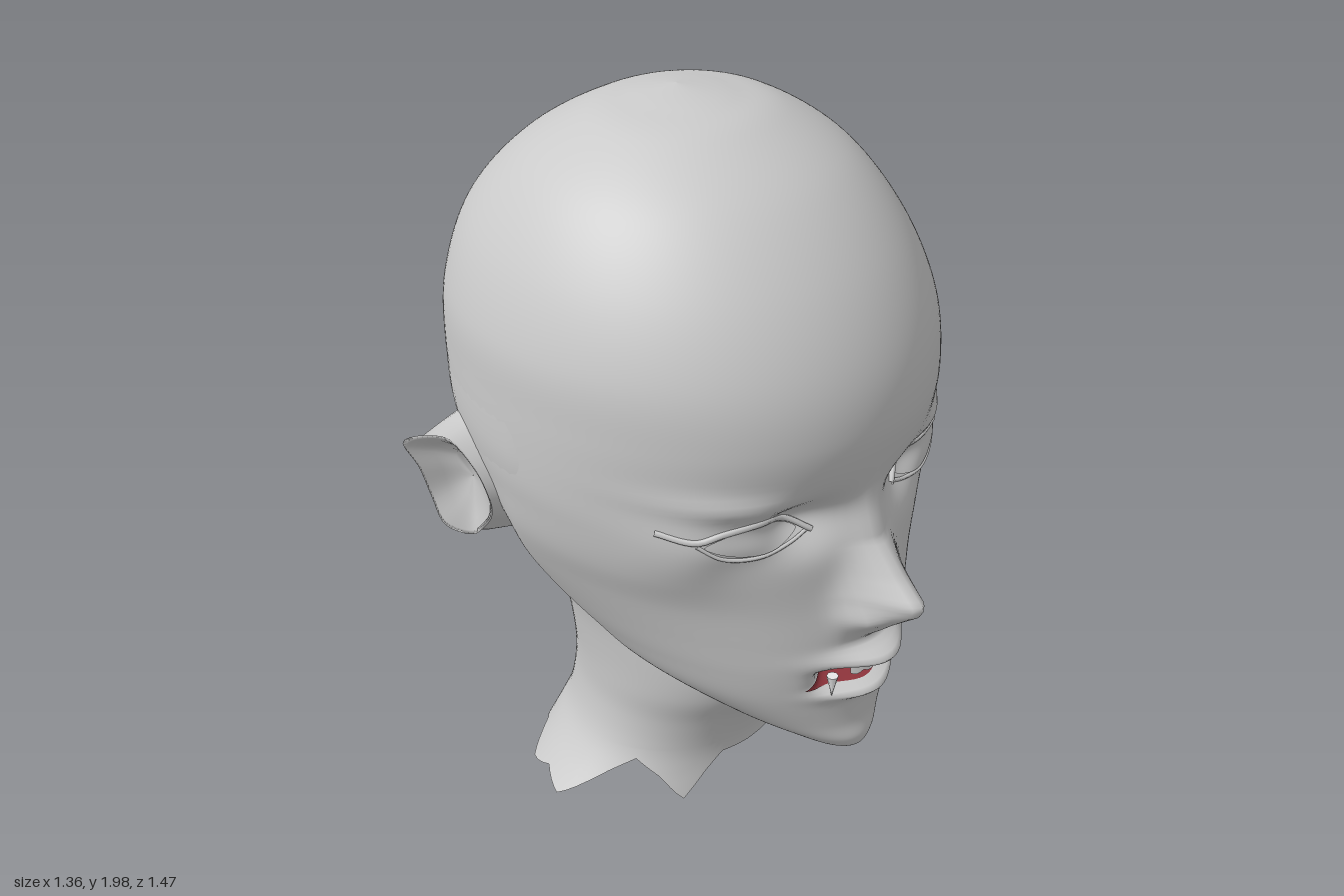
import * as THREE from 'three';

const skin = new THREE.MeshStandardMaterial({ color: 0xcacaca, side: THREE.DoubleSide });
skin.name = 'grey skin';
const red = new THREE.MeshStandardMaterial({ color: 0x8f343c, side: THREE.DoubleSide });
red.name = 'mouth red';
const white = new THREE.MeshStandardMaterial({ color: 0xffffff, side: THREE.DoubleSide });
white.name = 'tooth white';

// Cross-sections, top to bottom: y, half width, front z, back z, z of widest point
const HEAD = [
  [2.0, 0, -0.11, -0.11, -0.11], [1.983, 0.12, 0.04, -0.21, -0.1], [1.95, 0.245, 0.16, -0.32, -0.09],
  [1.85, 0.395, 0.33, -0.49, -0.09], [1.7, 0.505, 0.47, -0.64, -0.09], [1.53, 0.568, 0.56, -0.71, -0.08],
  [1.37, 0.578, 0.588, -0.73, -0.08], [1.2, 0.574, 0.56, -0.706, -0.08], [1.1, 0.56, 0.56, -0.63, -0.08],
  [1.0, 0.54, 0.563, -0.44, -0.1], [0.9, 0.503, 0.57, -0.29, -0.12], [0.8, 0.455, 0.58, -0.2, -0.08],
  [0.7, 0.4, 0.585, -0.09, 0], [0.6, 0.335, 0.575, 0.03, 0.1], [0.5, 0.225, 0.57, 0.18, 0.25],
  [0.44, 0.14, 0.578, 0.24, 0.34], [0.4, 0.07, 0.555, 0.29, 0.42], [0.385, 0, 0.47, 0.47, 0.47],
];
const NECK = [
  [1.45, 0.573, 0.3, -0.721, -0.08], [1.3, 0.579, 0.3, -0.727, -0.08], [1.2, 0.575, 0.3, -0.711, -0.08],
  [1.1, 0.553, 0.25, -0.676, -0.09], [1.0, 0.51, 0.2, -0.625, -0.11], [0.9, 0.452, 0.15, -0.565, -0.13],
  [0.8, 0.395, 0.12, -0.5, -0.14], [0.7, 0.35, 0.15, -0.45, -0.13], [0.6, 0.325, 0.22, -0.42, -0.12],
  [0.5, 0.312, 0.25, -0.41, -0.11], [0.4, 0.305, 0.24, -0.412, -0.1], [0.3, 0.305, 0.195, -0.42, -0.11],
  [0.2, 0.325, 0.165, -0.435, -0.12], [0.12, 0.37, 0.16, -0.46, -0.13], [0.02, 0.455, 0.175, -0.49, -0.15],
];

// Smooth interpolation through table rows
function section(table, t) {
  const n = table.length - 1;
  const i = Math.min(n - 1, Math.floor(t)), f = t - i;
  const [a, b, c, d] = [i - 1, i, i + 1, i + 2].map(k => table[Math.max(0, Math.min(n, k))]);
  return b.map((p, k) => p + 0.5 * f * (c[k] - a[k] + f * (2 * a[k] - 5 * p + 4 * c[k] - d[k]
    + f * (3 * (p - c[k]) + d[k] - a[k]))));
}
function ringPoint([y, w, zf, zb, zc], a) {
  const c = Math.cos(a);
  return [w * Math.sin(a), y, zc + c * (c > 0 ? zf - zc : zc - zb)];
}

// Mesh from a grid of points, optionally closed around the columns
function grid(rows, cols, closed, fn, material, name, flip = false) {
  const pos = [], idx = [], n = closed ? cols : cols + 1;
  for (let i = 0; i <= rows; i++) for (let j = 0; j < n; j++) pos.push(...fn(i, j));
  for (let i = 0; i < rows; i++) for (let j = 0; j < cols; j++) {
    const k = (j + 1) % n, a = i * n + j, b = i * n + k, c = a + n, d = b + n;
    idx.push(...(flip ? [c, b, d, c, a, b] : [c, d, b, c, b, a]));
  }
  const g = new THREE.BufferGeometry();
  g.setAttribute('position', new THREE.Float32BufferAttribute(pos, 3));
  g.setIndex(idx);
  g.computeVertexNormals();
  const m = new THREE.Mesh(g, material);
  m.name = name;
  return m;
}

// Linear lookup in [key, value] pairs with falling keys
function lookup(pairs, y) {
  for (let i = 0; i < pairs.length - 1; i++) {
    const [y0, v0] = pairs[i], [y1, v1] = pairs[i + 1];
    if (y <= y0 && y >= y1) return THREE.MathUtils.lerp(v0, v1, (y0 - y) / (y0 - y1));
  }
  return 0;
}
const NOSE = [[1.2, 0], [1.07, 0.035], [0.99, 0.11], [0.935, 0.172], [0.905, 0.155], [0.85, 0.085], [0.82, 0.05], [0.78, 0]];
const bump = (d, s) => Math.exp(-(d * d) / (s * s));
const plateau = (d, s) => Math.exp(-((d / s) ** 4));

// Facial relief added to the front of the head
function relief(x, y) {
  const ax = Math.abs(x);
  const noseWidth = THREE.MathUtils.clamp(0.045 + (1.15 - y) * 0.11, 0.04, 0.075);
  return lookup(NOSE, y) * bump(x, noseWidth)
    + 0.03 * bump(ax - 0.075, 0.03) * bump(y - 0.87, 0.035)     // nostril wings
    - 0.068 * bump(ax - 0.18, 0.1) * bump(y - 1.145, 0.065)     // eye sockets
    + 0.012 * bump(ax - 0.28, 0.1) * bump(y - 1.12, 0.04)       // eyeball swell
    + 0.02 * bump(ax - 0.34, 0.14) * bump(y - 1.225 - 0.1 * (ax - 0.3), 0.03) // brows
    + 0.035 * bump(ax - 0.43, 0.08) * bump(y - 1.1, 0.12)       // cheekbones
    + 0.07 * bump(x, 0.11) * bump(y - 0.738, 0.026)             // upper lip
    + 0.04 * bump(x, 0.1) * bump(y - 0.62, 0.022)               // lower lip
    - 0.1 * plateau(x, 0.125) * plateau(y - 0.676, 0.037);      // mouth hollow
}
function headPoint(t, a) {
  const p = ringPoint(section(HEAD, t), a), c = Math.cos(a);
  if (c > 0) p[2] += relief(p[0], p[1]) * Math.min(1, c * 2);
  return p;
}
// Front surface depth at x, y
function faceZ(x, y) {
  let lo = 0, hi = HEAD.length - 1;
  for (let i = 0; i < 30; i++) {
    const mid = (lo + hi) / 2;
    if (section(HEAD, mid)[0] > y) lo = mid; else hi = mid;
  }
  const a = Math.asin(THREE.MathUtils.clamp(x / section(HEAD, lo)[1], -1, 1));
  return headPoint(lo, a)[2];
}
// Thin patch lying on the face between two edge curves
function patch(x0, x1, low, high, lift, material, name) {
  return grid(12, 40, false, (i, j) => {
    const u = j / 40, x = x0 + (x1 - x0) * u;
    const y = THREE.MathUtils.lerp(high(u), low(u), i / 12);
    return [x, y, faceZ(x, y) + lift];
  }, material, name);
}
function faceTube(points, radius, name) {
  const curve = new THREE.CatmullRomCurve3(points.map(([x, y]) => new THREE.Vector3(x, y, faceZ(x, y) + 0.002)));
  const m = new THREE.Mesh(new THREE.TubeGeometry(curve, 28, radius, 6), skin);
  m.name = name;
  return m;
}

// Outer rim of the ear
const RIM = new THREE.CatmullRomCurve3([
  [0.57, 1.07, -0.18], [0.585, 1.15, -0.215], [0.61, 1.21, -0.29], [0.68, 1.195, -0.365], [0.65, 1.11, -0.355],
  [0.63, 1.02, -0.345], [0.62, 0.945, -0.31], [0.57, 0.915, -0.265], [0.555, 0.95, -0.23], [0.555, 1.0, -0.195],
].map(p => new THREE.Vector3(...p)), true);
// Ear rings: scale about the centre, share of rim x, fixed x
const EAR = [[1.2, 0, 0.44], [1.04, 0.35, 0.5], [0.92, 0.7, 0.56], [1, 1, 0], [0.93, 0.95, 0.55], [0.72, 0.5, 0.545], [0.45, 0.1, 0.545], [0.003, 0, 0.54]];
function ear(s, name) {
  return grid(EAR.length - 1, 48, true, (i, j) => {
    const p = RIM.getPoint(j / 48), [k, f, x] = EAR[i];
    return [s * (p.x * f + x * (1 - f)), 1.07 + (p.y - 1.07) * k, -0.285 + (p.z + 0.285) * k];
  }, skin, name, s < 0);
}

// How far the torn lower edge of the neck is cut back, front to back
const TORN = [1.4, 1.45, 0.3, 1.0, 1.6, 0.8, 0.1, 0.4, 0, 0.5, 0.1, 0.9, 0.7];
function torn(j, cols) {
  const h = Math.min(j, cols - j) / (cols / 2) * 12, i = Math.min(11, Math.floor(h));
  return THREE.MathUtils.lerp(TORN[i], TORN[i + 1], h - i);
}

export function createModel() {
  const model = new THREE.Group();
  model.name = 'head';

  // Skull and face
  const hr = (HEAD.length - 1) * 10;
  model.add(grid(hr, 160, true, (i, j) => headPoint(i / 10, j / 160 * Math.PI * 2), skin, 'skullAndFace'));

  // Nape and neck with torn edge
  const last = NECK.length - 1;
  model.add(grid(last * 5, 96, true, (i, j) => {
    let t = i / 5;
    if (t > last - 2) t = last - 2 + (t - last + 2) * (1 - torn(j, 96) / 2);
    return ringPoint(section(NECK, t), j / 96 * Math.PI * 2);
  }, skin, 'neck'));

  // Ears, eyes and lids
  for (const s of [1, -1]) {
    const side = s > 0 ? 'left' : 'right';
    model.add(ear(s, side + 'Ear'));
    const arc = u => Math.sin(Math.PI * u) ** 0.7;
    const x0 = s > 0 ? 0.17 : -0.4, x1 = s > 0 ? 0.4 : -0.17;
    const mid = u => 1.125 + 0.012 * (s > 0 ? u : 1 - u);
    model.add(patch(x0, x1, u => mid(u) - 0.035 * arc(u), u => mid(u) + 0.038 * arc(u), 0.005, skin, side + 'Eye'));
    model.add(faceTube([[0.14, 1.115], [0.2, 1.157], [0.28, 1.175], [0.36, 1.167], [0.41, 1.15], [0.465, 1.165]]
      .map(([x, y]) => [s * x, y]), 0.008, side + 'UpperLid'));
    model.add(faceTube([[0.15, 1.115], [0.2, 1.098], [0.28, 1.088], [0.36, 1.1], [0.41, 1.14]]
      .map(([x, y]) => [s * x, y]), 0.005, side + 'LowerLid'));
  }

  // Open mouth
  const taper = u => Math.sin(Math.PI * u);
  model.add(patch(-0.17, 0.17, u => 0.652 - 0.014 * taper(u),
    u => 0.652 + 0.062 * taper(u) - 0.01 * bump(u - 0.5, 0.08), 0.007, red, 'mouth'));

  // Upper teeth: a scalloped curved row and two fangs
  model.add(grid(1, 48, false, (i, j) => {
    const x = -0.07 + 0.14 * j / 48;
    const y = i ? 0.69 - 0.008 * Math.abs(Math.sin(j / 48 * Math.PI * 4)) : 0.722;
    return [x, y, 0.6 - 3.5 * x * x];
  }, white, 'incisors'));
  for (const s of [1, -1]) {
    const fang = new THREE.Mesh(new THREE.CylinderGeometry(0.015, 0, 0.066, 8), white);
    fang.position.set(s * 0.112, 0.66, 0.562);
    fang.name = 'fang';
    model.add(fang);
  }
  return model;
}
